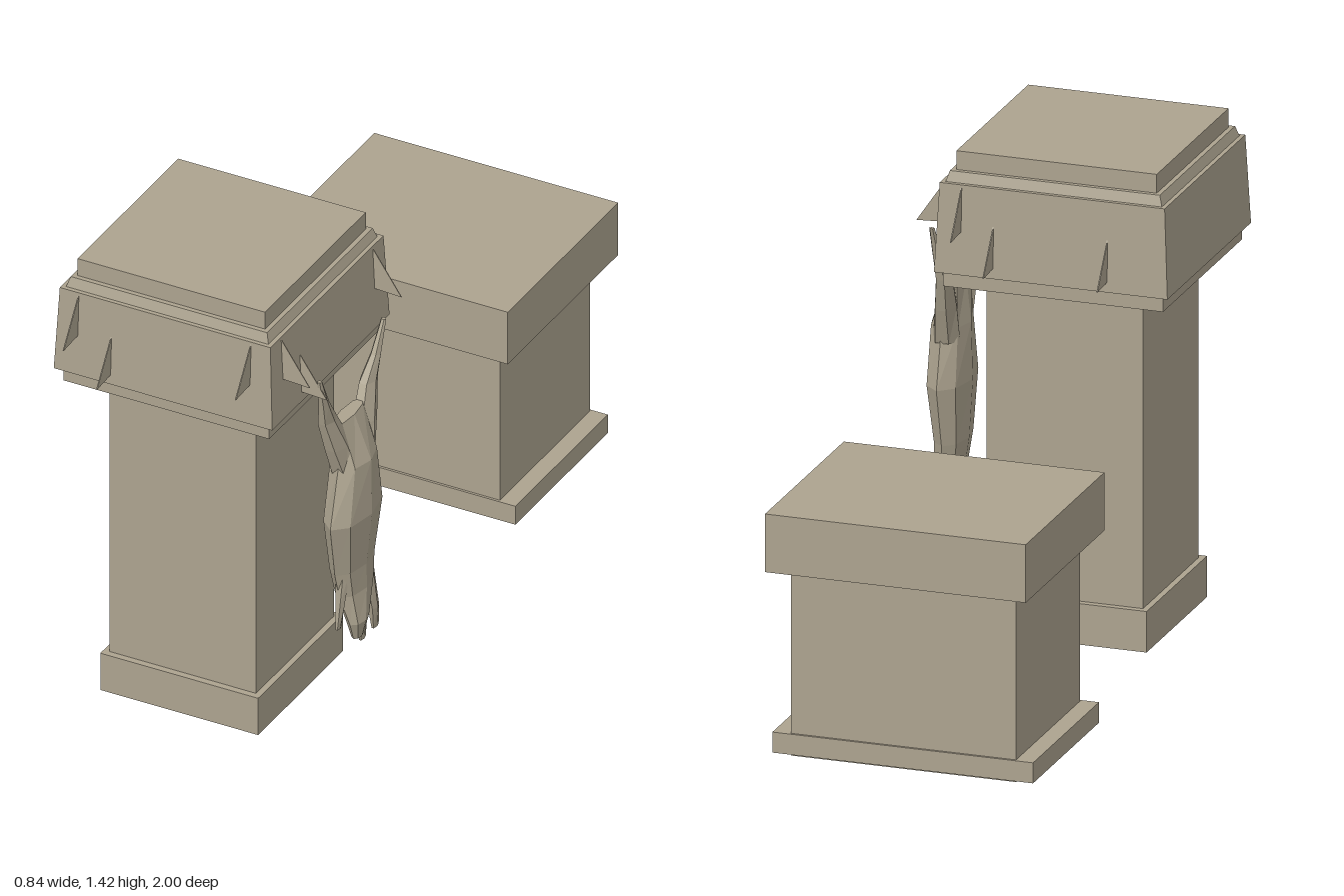
import * as THREE from 'three';

const stone = new THREE.MeshStandardMaterial({ color: 0xaca38f, flatShading: true, side: THREE.DoubleSide });
stone.name = 'stone';

function add(parent, name, geometry) {
  const mesh = new THREE.Mesh(geometry, stone);
  mesh.name = name;
  parent.add(mesh);
  return mesh;
}

// Rectangular block from y0 to y1; the top may be narrower than the bottom
function slab(parent, name, w, d, y0, y1, topScale = 1) {
  const g = new THREE.CylinderGeometry(Math.SQRT1_2 * topScale, Math.SQRT1_2, y1 - y0, 4, 1);
  g.rotateY(Math.PI / 4);
  g.scale(w, 1, d);
  g.translate(0, (y0 + y1) / 2, 0);
  return add(parent, name, g);
}

// Closed skin over horizontal oval rings: [y, x, z, radiusX, radiusZ]
function loft(rings, sides = 8) {
  const pos = [], index = [];
  for (const [y, x, z, rx, rz] of rings) {
    for (let i = 0; i < sides; i++) {
      const a = (i / sides) * Math.PI * 2;
      pos.push(x + Math.cos(a) * rx, y, z + Math.sin(a) * rz);
    }
  }
  for (let r = 0; r < rings.length - 1; r++) {
    for (let i = 0; i < sides; i++) {
      const a = r * sides + i, b = r * sides + (i + 1) % sides;
      index.push(a, b, a + sides, b, b + sides, a + sides);
    }
  }
  const last = (rings.length - 1) * sides;
  for (let i = 1; i < sides - 1; i++) {
    index.push(0, i + 1, i, last, last + i, last + i + 1);
  }
  const g = new THREE.BufferGeometry();
  g.setAttribute('position', new THREE.Float32BufferAttribute(pos, 3));
  g.setIndex(index);
  g.computeVertexNormals();
  return g;
}

function makePillar() {
  const pillar = new THREE.Group();
  pillar.name = 'pillar';
  pillar.position.set(-0.05, 0, 0.58);
  slab(pillar, 'pillarBase', 0.495, 0.495, 0, 0.12);
  slab(pillar, 'pillarShaft', 0.46, 0.455, 0.12, 1.04);
  slab(pillar, 'lowerCollar', 0.645, 0.645, 1.03, 1.08);
  slab(pillar, 'pillarHead', 0.685, 0.685, 1.075, 1.335, 0.964);
  slab(pillar, 'upperStep', 0.635, 0.635, 1.335, 1.365, 0.97);
  slab(pillar, 'pillarCap', 0.588, 0.588, 1.36, 1.42);

  // Thin barbs on three faces: [offset along face, tip height]
  const barb = new THREE.Shape([
    new THREE.Vector2(0.325, 0.005), new THREE.Vector2(0.42, 0), new THREE.Vector2(0.325, 0.14),
  ]);
  const barbGeometry = new THREE.ExtrudeGeometry(barb, { depth: 0.003, bevelEnabled: false });
  const high = 1.195, low = 1.1;
  const faces = [
    ['leftBarb', 0, [[-0.27, high], [0.165, low], [0.265, high]]],
    ['frontBarb', -Math.PI / 2, [[0.27, high], [0.165, low], [-0.27, high]]],
    ['backBarb', Math.PI / 2, [[0.265, high], [0.17, low], [-0.165, low]]],
  ];
  for (const [name, angle, spots] of faces) {
    const side = new THREE.Group();
    side.name = name + 's';
    side.rotation.y = angle;
    // The face direction decides which way the offset runs
    for (const [offset, y] of spots) {
      add(side, name, barbGeometry).position.set(0, y, offset);
    }
    pillar.add(side);
  }
  return pillar;
}

function makeBlock() {
  const block = new THREE.Group();
  block.name = 'block';
  block.position.set(-0.038, 0, -0.67);
  slab(block, 'blockFoot', 0.765, 0.54, 0.05, 0.11);
  slab(block, 'blockBody', 0.66, 0.525, 0.045, 0.6);
  slab(block, 'blockTop', 0.765, 0.645, 0.598, 0.768).position.z = -0.008;
  return block;
}

function makeCarcass() {
  const carcass = new THREE.Group();
  carcass.name = 'hangingCarcass';
  add(carcass, 'body', loft([
    [0.255, 0.385, 0.598, 0.014, 0.022],
    [0.31, 0.385, 0.595, 0.026, 0.045],
    [0.4, 0.36, 0.57, 0.04, 0.085],
    [0.48, 0.355, 0.573, 0.046, 0.1],
    [0.65, 0.36, 0.577, 0.06, 0.132],
    [0.82, 0.358, 0.57, 0.056, 0.09],
    [0.95, 0.337, 0.565, 0.022, 0.085],
  ]));
  // Hind legs spread upward to the barbs
  for (const s of [-1, 1]) {
    add(carcass, 'hindLeg', loft([
      [0.78, 0.355, 0.56 + s * 0.045, 0.04, 0.045],
      [0.89, 0.345, 0.56 + s * 0.078, 0.032, 0.052],
      [0.99, 0.335, 0.56 + s * 0.12, 0.024, 0.038],
      [1.06, 0.342, 0.56 + s * 0.152, 0.015, 0.02],
      [1.153, 0.347, 0.56 + s * 0.187, 0.008, 0.007],
    ], 6));
  }
  // Front legs and ear hang at the bottom
  const hanging = [
    ['frontLeg', 0.215, 0.375, 0.475, 0.022],
    ['frontLeg', 0.22, 0.378, 0.555, 0.02],
    ['ear', 0.305, 0.36, 0.662, 0.016],
  ];
  for (const [name, y, x, z, r] of hanging) {
    add(carcass, name, loft([
      [y, x, z, 0.006, r * 0.8],
      [y + 0.07, x, z + (0.57 - z) * 0.1, 0.014, r],
      [y + 0.2, 0.36, z + (0.57 - z) * 0.3, 0.025, r * 1.3],
    ], 6));
  }
  return carcass;
}

export function createModel() {
  const model = new THREE.Group();
  model.name = 'pillarAndBlock';
  model.add(makePillar(), makeBlock(), makeCarcass());
  return model;
}
